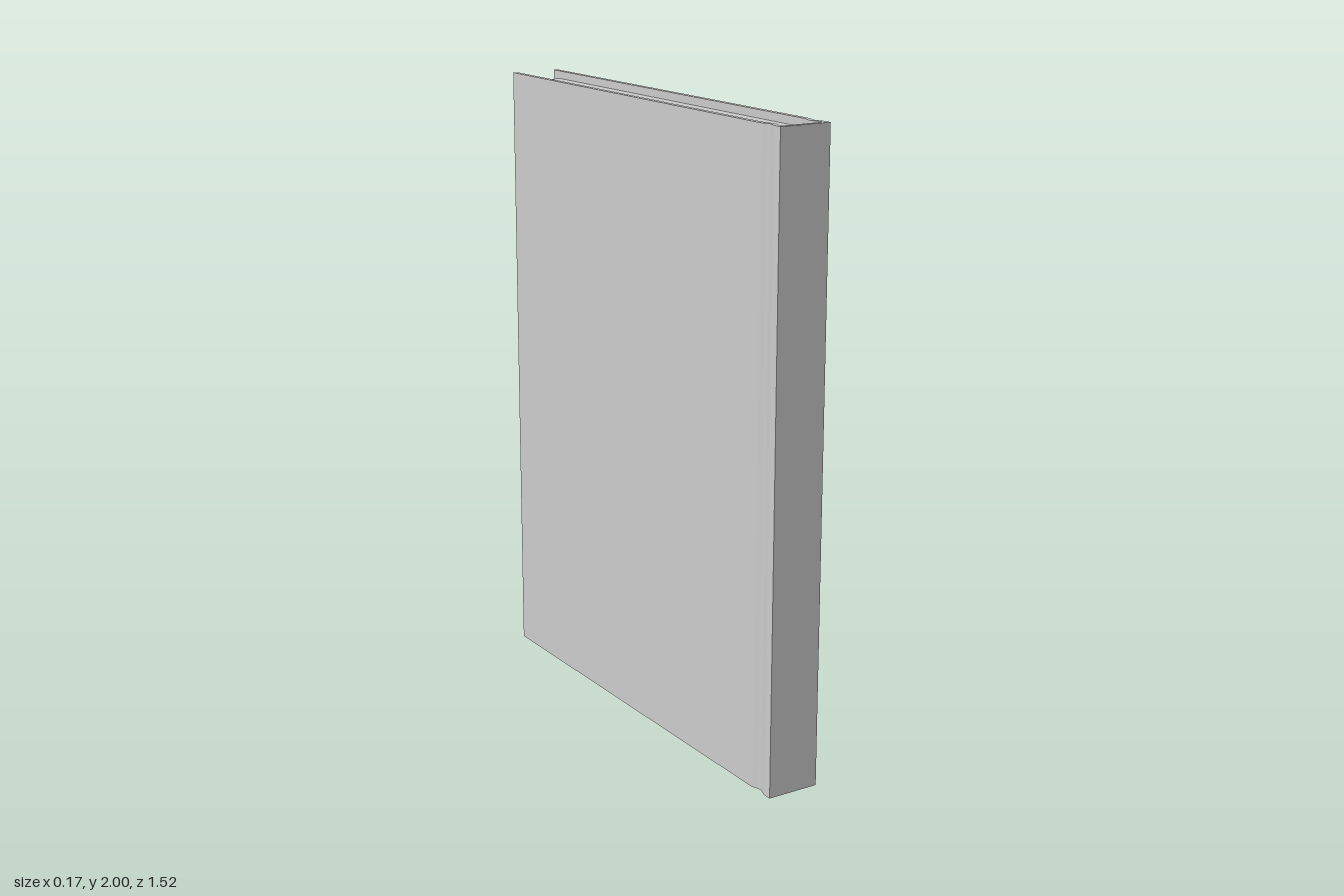
import * as THREE from 'three';
import { toCreasedNormals } from 'three/addons/utils/BufferGeometryUtils.js';

const W = 0.085, BACK = -0.76, FRONT = 0.76, H = 2, T = 0.016;

// One side of the cover section, from fore edge to spine, dipping in at the hinge groove
function sideLine(x, end) {
  const z0 = 0.66, z1 = 0.735, dip = 0.01, steps = 12;
  const pts = [[x, BACK]];
  for (let i = 0; i <= steps; i++) {
    const t = i / steps;
    pts.push([x - dip * 0.5 * (1 - Math.cos(2 * Math.PI * t)), z0 + (z1 - z0) * t]);
  }
  pts.push([x, end]);
  return pts;
}

const mirror = (pts) => pts.map(([x, z]) => [-x, z]).reverse();
const toShape = (pts) => new THREE.Shape(pts.map(([x, z]) => new THREE.Vector2(x, -z)));

export function createModel() {
  const book = new THREE.Group();
  book.name = 'book';
  const material = new THREE.MeshStandardMaterial({ color: 0xcccccc });

  // Cover: two boards and the spine as one U-shaped section, extruded upwards
  const outer = sideLine(W, FRONT);
  const inner = sideLine(W - T, FRONT - T);
  const section = [...outer, ...mirror(outer), ...mirror(inner).reverse(), ...inner.slice().reverse()];
  const coverGeo = new THREE.ExtrudeGeometry(toShape(section), { depth: H, bevelEnabled: false });
  coverGeo.rotateX(-Math.PI / 2);
  const cover = new THREE.Mesh(toCreasedNormals(coverGeo, 0.6), material);
  cover.name = 'cover';
  book.add(cover);

  // Page block: set in from the cover edges, sloping off steeply at the spine
  const inset = 0.025, slope = 0.03, back = -0.72, front = 0.725, spine = FRONT - T;
  const profile = [
    [back, inset], [front, inset], [spine, inset + slope],
    [spine, H - inset - slope], [front, H - inset], [back, H - inset],
  ];
  const pageWidth = 2 * (W - T);
  const pageGeo = new THREE.ExtrudeGeometry(
    new THREE.Shape(profile.map(([z, y]) => new THREE.Vector2(z, y))),
    { depth: pageWidth, bevelEnabled: false });
  pageGeo.translate(0, 0, -pageWidth / 2);
  pageGeo.rotateY(-Math.PI / 2);
  const pages = new THREE.Mesh(pageGeo, material);
  pages.name = 'pages';
  book.add(pages);

  return book;
}
